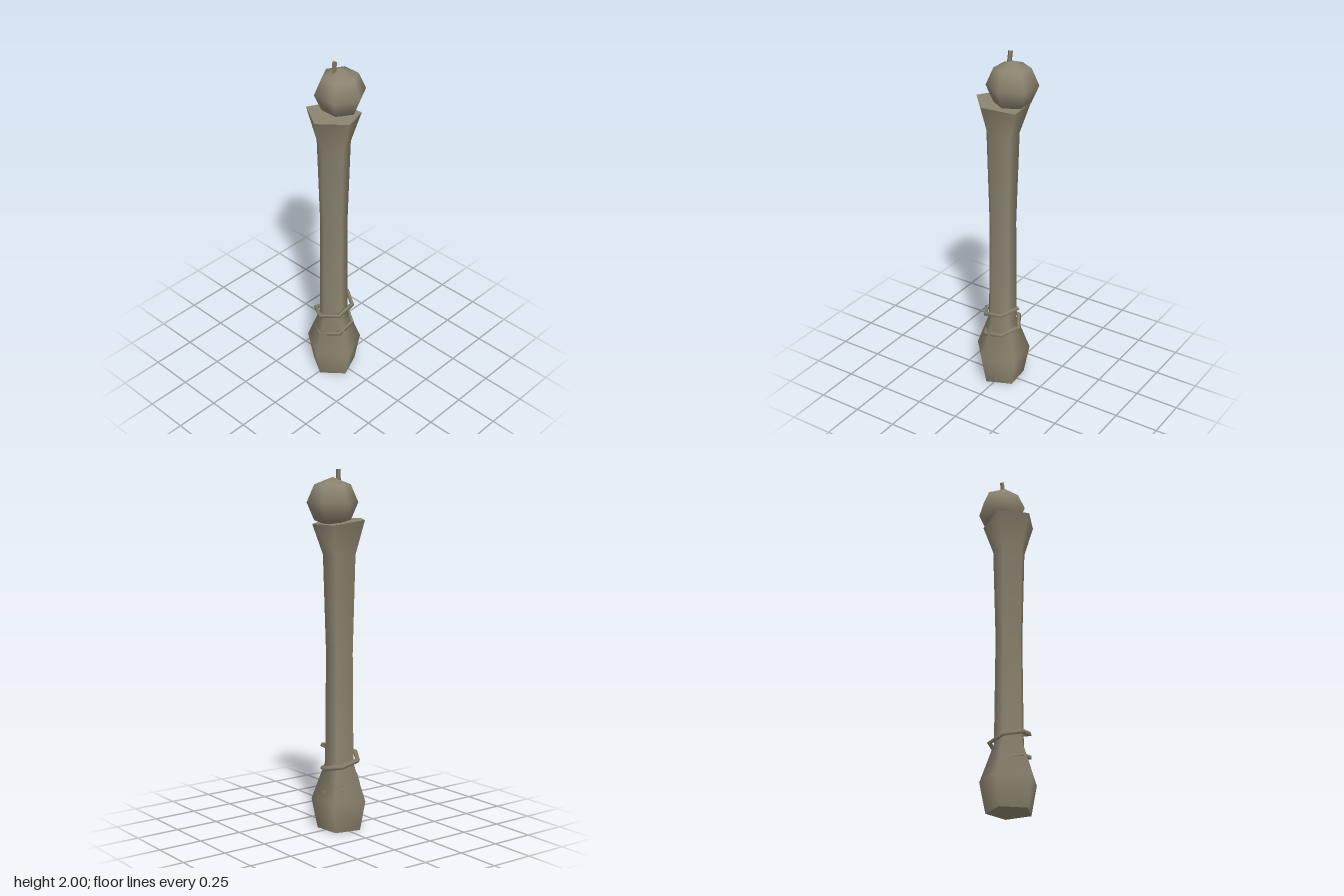
import * as THREE from 'three';

const bone = new THREE.MeshStandardMaterial({ color: 0x8c8470, side: THREE.DoubleSide });
bone.name = 'weathered bone';

function part(name, geometry) {
  const mesh = new THREE.Mesh(geometry, bone);
  mesh.name = name;
  return mesh;
}

// Five-sided disc with a corner on +z, matching the lathe
function pentagonCap(radius, y, facing) {
  return new THREE.CircleGeometry(radius, 5)
    .rotateX(-facing * Math.PI / 2).rotateY(-Math.PI / 2).translate(0, y, 0);
}

// Worn side of the rim: lower the corners opposite the main one
function wearRim(geometry) {
  const p = geometry.attributes.position;
  for (let i = 0; i < p.count; i++) {
    if (p.getY(i) > 1.72 && p.getZ(i) < -0.1) p.setY(i, 1.705);
  }
  geometry.computeBoundingBox();
  return geometry;
}

function createShaft() {
  const shaft = new THREE.Group();
  shaft.name = 'shaft';
  const profile = [[0.128, 0], [0.162, 0.17], [0.085, 0.38], [0.079, 1], [0.095, 1.54], [0.153, 1.73]]
    .map(([r, y]) => new THREE.Vector2(r, y));
  shaft.add(part('shaftBody', wearRim(new THREE.LatheGeometry(profile, 5))));
  shaft.add(part('shaftTop', wearRim(pentagonCap(0.153, 1.73, 1))));
  shaft.add(part('shaftBase', pentagonCap(0.128, 0, -1)));
  shaft.position.x = -0.014;
  shaft.rotation.y = THREE.MathUtils.degToRad(-85);
  return shaft;
}

// Cord wound twice round the lower shaft, partly sunk into the swelling
function createCord() {
  const steps = 12;
  const points = [];
  for (let i = 0; i <= steps; i++) {
    const a = -i * Math.PI / 3;
    points.push(new THREE.Vector3(-0.012 + 0.108 * Math.cos(a), 0.22 + 0.265 * i / steps, 0.108 * Math.sin(a)));
  }
  const path = new THREE.CurvePath();
  for (let i = 0; i < steps; i++) path.add(new THREE.LineCurve3(points[i], points[i + 1]));
  return part('cord', new THREE.TubeGeometry(path, steps, 0.014, 4, false));
}

export function createModel() {
  const model = new THREE.Group();
  model.name = 'staff';
  model.add(createShaft(), createCord());

  // Knob set off-centre in the flared top
  const knob = part('knob', new THREE.SphereGeometry(0.14, 6, 4));
  knob.scale.y = 0.965;
  knob.rotation.y = Math.PI / 2;
  knob.position.set(0.045, 1.823, -0.009);
  model.add(knob);

  // Small three-sided spike on the knob
  const spike = part('spike', new THREE.CylinderGeometry(0.014, 0.014, 0.1, 3));
  spike.position.set(0.016, 1.95, -0.025);
  spike.rotation.set(0, 0.5, -0.1);
  model.add(spike);
  return model;
}
